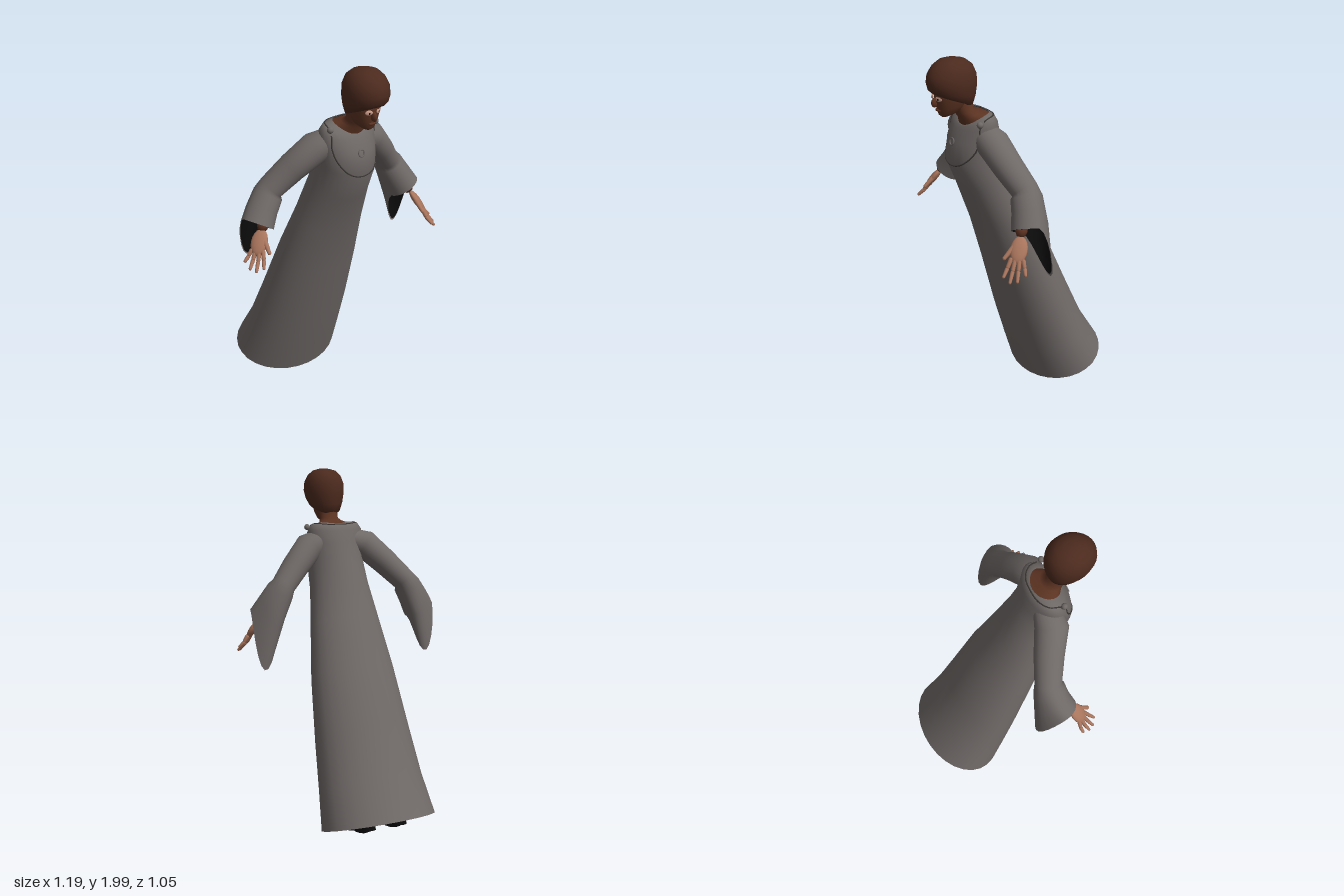
import * as THREE from 'three';

const V = (x, y, z) => new THREE.Vector3(x, y, z);
const material = (name, color, side = THREE.FrontSide) => {
  const m = new THREE.MeshStandardMaterial({ color, side });
  m.name = name;
  return m;
};

// Ring from a front point to a back point, with half width w and lifted sides
function ring(cx, w, yf, zf, yb, zb, lift = 0, n = 28) {
  return Array.from({ length: n }, (_, i) => {
    const a = (i / n) * Math.PI * 2, t = (1 - Math.cos(a)) / 2, s = Math.sin(a);
    return V(cx + w * s, yf + (yb - yf) * t + lift * s * s, zf + (zb - zf) * t);
  });
}

// Skin a list of equal rings, optionally closing either end
function loft(rings, capStart = false, capEnd = false) {
  const n = rings[0].length, pts = rings.flat(), index = [];
  for (let r = 0; r < rings.length - 1; r++) {
    for (let i = 0; i < n; i++) {
      const a = r * n + i, b = r * n + (i + 1) % n;
      index.push(a, b, a + n, b, b + n, a + n);
    }
  }
  const cap = (r, flip) => {
    const c = rings[r].reduce((s, p) => s.add(p), V(0, 0, 0)).divideScalar(n);
    pts.push(c);
    for (let i = 0; i < n; i++) {
      const a = r * n + i, b = r * n + (i + 1) % n;
      index.push(...(flip ? [b, a, pts.length - 1] : [a, b, pts.length - 1]));
    }
  };
  if (capStart) cap(0, true);
  if (capEnd) cap(rings.length - 1, false);
  const g = new THREE.BufferGeometry().setFromPoints(pts);
  g.setIndex(index);
  g.computeVertexNormals();
  return g;
}

// Sleeve rings around a path of [x, y, z, radius, droop]
function sleeveRings(path, tip, scale = 1) {
  const p = path.map(q => V(q[0], q[1], q[2])), n = 24;
  return path.map(([, , , r, droop], k) => {
    const t = p[Math.min(k + 1, p.length - 1)].clone().sub(p[Math.max(k - 1, 0)]).normalize();
    const u = V(0, 0, 1).addScaledVector(t, -t.z).normalize();
    const v = t.clone().cross(u);
    return Array.from({ length: n }, (_, i) => {
      const a = (i / n) * Math.PI * 2;
      const back = Math.pow(Math.max(0, -Math.cos(a)), 1.8) * droop;
      return p[k].clone().addScaledVector(u, r * scale * Math.cos(a))
        .addScaledVector(v, r * scale * 0.92 * Math.sin(a)).addScaledVector(tip, back * scale);
    });
  });
}

// Rounded tapered limb between two points
function limb(a, b, r0, r1) {
  const len = a.distanceTo(b);
  const profile = [new THREE.Vector2(0, -r0), new THREE.Vector2(r0 * 0.8, -r0 * 0.6), new THREE.Vector2(r0, 0),
    new THREE.Vector2(r1, len - r1), new THREE.Vector2(r1 * 0.7, len - r1 * 0.3), new THREE.Vector2(0, len)];
  const g = new THREE.LatheGeometry(profile, 12);
  g.applyQuaternion(new THREE.Quaternion().setFromUnitVectors(V(0, 1, 0), b.clone().sub(a).normalize()));
  return g.translate(a.x, a.y, a.z);
}

export function createModel() {
  const model = new THREE.Group();
  const robe = material('robe grey', 0x6e6866, THREE.DoubleSide);
  const trim = material('trim dark grey', 0x3c3836);
  const black = material('black', 0x0c0c0c, THREE.DoubleSide);
  const skin = material('skin brown', 0x5c3322, THREE.DoubleSide);
  const handTone = material('hand tan', 0xa8745c);
  const hairTone = material('hair brown', 0x4c2a1e);
  const eyeTone = material('eye light', 0xc79a88);
  const add = (name, geometry, mat, parent = model) => {
    const mesh = new THREE.Mesh(geometry, mat);
    mesh.name = name;
    parent.add(mesh);
    return mesh;
  };

  // Long leaning robe, hem to neckline
  const body = add('robe', loft([
    ring(0.01, 0.33, 0.01, -0.05, 0.18, -0.52),
    ring(0.012, 0.303, 0.2, 0.012, 0.385, -0.39),
    ring(0.016, 0.278, 0.45, 0.09, 0.64, -0.27),
    ring(0.02, 0.245, 0.78, 0.18, 0.96, -0.125),
    ring(0.018, 0.205, 1.06, 0.262, 1.21, 0),
    ring(0.018, 0.17, 1.29, 0.35, 1.4, 0.072),
    ring(0.018, 0.16, 1.45, 0.415, 1.52, 0.118),
    ring(0.018, 0.162, 1.56, 0.395, 1.6, 0.145),
    ring(0.02, 0.163, 1.625, 0.362, 1.66, 0.165, 0.015),
    ring(0.022, 0.14, 1.645, 0.352, 1.69, 0.18, 0.025),
    ring(0.028, 0.092, 1.648, 0.345, 1.7, 0.2, 0.025),
  ]), robe);

  // Bare neckline and neck
  add('neck', loft([
    ring(0.028, 0.094, 1.64, 0.344, 1.695, 0.2, 0.025),
    ring(0.028, 0.066, 1.68, 0.355, 1.71, 0.25, 0.01),
    ring(0.026, 0.052, 1.71, 0.375, 1.73, 0.28),
    ring(0.022, 0.052, 1.77, 0.4, 1.79, 0.29),
  ]), skin);

  // Head
  const head = new THREE.Group();
  head.name = 'head';
  model.add(head);
  add('face', loft([
    ring(0.014, 0.028, 1.703, 0.45, 1.72, 0.38),
    ring(0.015, 0.046, 1.715, 0.464, 1.735, 0.335),
    ring(0.018, 0.062, 1.75, 0.474, 1.77, 0.31),
    ring(0.02, 0.074, 1.8, 0.484, 1.82, 0.3),
    ring(0.022, 0.08, 1.86, 0.49, 1.88, 0.29),
  ], true, true), skin);
  const nose = new THREE.SphereGeometry(1, 12, 8);
  nose.scale(0.013, 0.026, 0.022).rotateX(-0.35).translate(0.008, 1.782, 0.482);
  add('nose', nose, skin);
  const lips = new THREE.SphereGeometry(1, 12, 8).scale(0.022, 0.008, 0.01).translate(0.012, 1.741, 0.469);
  add('lips', lips, skin);
  for (const s of [-1, 1]) {
    const eye = new THREE.SphereGeometry(1, 14, 8);
    eye.scale(0.02, 0.013, 0.005).rotateY(s * 0.4).translate(0.01 + s * 0.03, 1.805, 0.479);
    add('eye', eye, eyeTone, head);
    const iris = new THREE.SphereGeometry(1, 10, 6);
    iris.scale(0.005, 0.006, 0.003).rotateY(s * 0.4).translate(0.01 + s * 0.03, 1.803, 0.483);
    add('iris', iris, black, head);
  }

  // Bowl-shaped hair, longer at the nape
  add('hair', loft([
    ring(0.025, 0.07, 1.85, 0.47, 1.745, 0.315),
    ring(0.025, 0.088, 1.832, 0.502, 1.75, 0.287),
    ring(0.026, 0.103, 1.85, 0.52, 1.8, 0.272),
    ring(0.027, 0.112, 1.885, 0.528, 1.86, 0.264),
    ring(0.027, 0.109, 1.925, 0.521, 1.915, 0.266),
    ring(0.027, 0.092, 1.962, 0.495, 1.96, 0.285),
    ring(0.027, 0.064, 1.988, 0.46, 1.987, 0.32),
    ring(0.027, 0.03, 1.998, 0.425, 1.998, 0.36),
  ], true, true), hairTone, head);

  // Raised seam laid on the robe: a deep curve in front, a collar arc behind
  const caster = new THREE.Raycaster();
  body.updateMatrixWorld();
  const seam = (name, points, from, dir) => {
    const curve = new THREE.CatmullRomCurve3(points);
    const laid = [];
    for (const p of curve.getPoints(40)) {
      caster.set(p.addScaledVector(from, 1), dir);
      const hit = caster.intersectObject(body)[0];
      if (hit) laid.push(hit.point);
    }
    if (laid.length > 3) add(name, new THREE.TubeGeometry(new THREE.CatmullRomCurve3(laid), 60, 0.004, 5), trim);
  };
  seam('frontSeam', [V(-0.115, 1.655, 0), V(-0.122, 1.59, 0), V(-0.105, 1.52, 0), V(-0.06, 1.46, 0), V(0.02, 1.437, 0),
    V(0.1, 1.46, 0), V(0.148, 1.52, 0), V(0.162, 1.59, 0), V(0.155, 1.655, 0)], V(0, 0, 3), V(0, 0, -1));
  seam('collarSeam', [V(-0.115, 0, 0.29), V(-0.1, 0, 0.235), V(-0.05, 0, 0.2), V(0.025, 0, 0.19),
    V(0.1, 0, 0.2), V(0.145, 0, 0.24), V(0.157, 0, 0.29)], V(0, 3, 0), V(0, -1, 0));
  for (const [x, y, z] of [[-0.118, 1.685, 0.305], [0.165, 1.675, 0.32]]) {
    add('clasp', new THREE.SphereGeometry(0.017, 12, 8).translate(x, y, z), robe);
  }
  const pendant = new THREE.TorusGeometry(0.018, 0.004, 6, 20).rotateX(-0.25).translate(0.012, 1.56, 0.396);
  add('pendant', pendant, robe);

  // Arms: bell sleeve with drooping point, lining, wrist and hand
  const arms = [
    { side: 1, name: 'left', tip: V(0.03, -0.25, -0.01), wrist: V(0.475, 1.17, 0.285), reach: V(0.095, -0.19, 0.11),
      path: [[0.1, 1.605, 0.26, 0.07, 0], [0.18, 1.57, 0.255, 0.088, 0], [0.28, 1.465, 0.225, 0.08, 0],
        [0.365, 1.37, 0.19, 0.072, 0], [0.385, 1.34, 0.19, 0.084, 0.05], [0.425, 1.27, 0.2, 0.092, 0.35], [0.468, 1.19, 0.225, 0.098, 1]] },
    { side: -1, name: 'right', tip: V(0.02, -0.22, -0.02), wrist: V(-0.478, 1.19, 0.205), reach: V(-0.11, -0.165, 0.075),
      path: [[-0.06, 1.605, 0.24, 0.07, 0], [-0.15, 1.575, 0.225, 0.088, 0], [-0.25, 1.475, 0.165, 0.08, 0],
        [-0.35, 1.37, 0.115, 0.072, 0], [-0.37, 1.34, 0.113, 0.084, 0.05], [-0.415, 1.27, 0.115, 0.092, 0.35], [-0.46, 1.2, 0.13, 0.1, 1]] },
  ];
  for (const { side, name, tip, wrist, reach, path } of arms) {
    const arm = new THREE.Group();
    arm.name = name + 'Arm';
    model.add(arm);
    add('sleeve', loft(sleeveRings(path, tip)), robe, arm);
    add('sleeveLining', loft(sleeveRings(path, tip, 0.95).slice(3), true), black, arm);
    const [ex, ey, ez] = path[3];
    add('forearm', limb(V(ex, ey, ez), wrist, 0.045, 0.032), skin, arm);

    // Hand, spread across from thumb to little finger
    const d = reach.clone().normalize();
    const across = V(side * 0.6, 0, -0.8);
    across.addScaledVector(d, -across.dot(d)).normalize();
    const at = (along, over) => wrist.clone().addScaledVector(reach, along).addScaledVector(across, over);
    const normal = d.clone().cross(across);
    const palm = new THREE.SphereGeometry(1, 16, 10).scale(0.044, 0.07, 0.02);
    palm.applyMatrix4(new THREE.Matrix4().makeBasis(across, d, across.clone().cross(d)));
    const c = at(0.26, 0);
    add('palm', palm.translate(c.x, c.y, c.z), handTone, arm);
    [0.9, 1, 0.96, 0.8].forEach((length, i) => {
      const over = (i - 1.5) * 0.021;
      const knuckle = at(0.48, over), tipEnd = at(length, over * 1.75);
      const mid = knuckle.clone().lerp(tipEnd, 0.5).addScaledVector(normal, side * -0.006);
      add('finger', limb(knuckle, mid, 0.0115, 0.0105), handTone, arm);
      add('finger', limb(mid, tipEnd, 0.0105, 0.008), handTone, arm);
    });
    add('thumb', limb(at(0.15, -0.02), at(0.52, -0.07), 0.015, 0.01), handTone, arm);
  }

  // Shoes, pitched with the lean of the body
  for (const x of [-0.09, 0.1]) {
    const outline = new THREE.Shape().setFromPoints(new THREE.SplineCurve([[0, -0.145], [0.036, -0.11], [0.03, -0.02],
      [0.05, 0.07], [0.022, 0.142], [-0.022, 0.142], [-0.045, 0.07], [-0.03, -0.02], [-0.036, -0.11], [0, -0.145]]
      .map(([a, b]) => new THREE.Vector2(a, b))).getPoints(36));
    const sole = new THREE.ExtrudeGeometry(outline, { depth: 0.025, bevelEnabled: false });
    sole.rotateX(Math.PI / 2).translate(0, 0.025, 0);
    const upper = new THREE.SphereGeometry(1, 16, 10).scale(0.042, 0.05, 0.135).translate(0, 0.03, -0.005);
    const shoe = new THREE.Group();
    shoe.name = 'shoe';
    add('sole', sole, black, shoe);
    add('upper', upper, black, shoe);
    shoe.rotation.x = 0.31;
    shoe.position.set(x, 0.05, -0.25);
    model.add(shoe);
  }
  return model;
}
